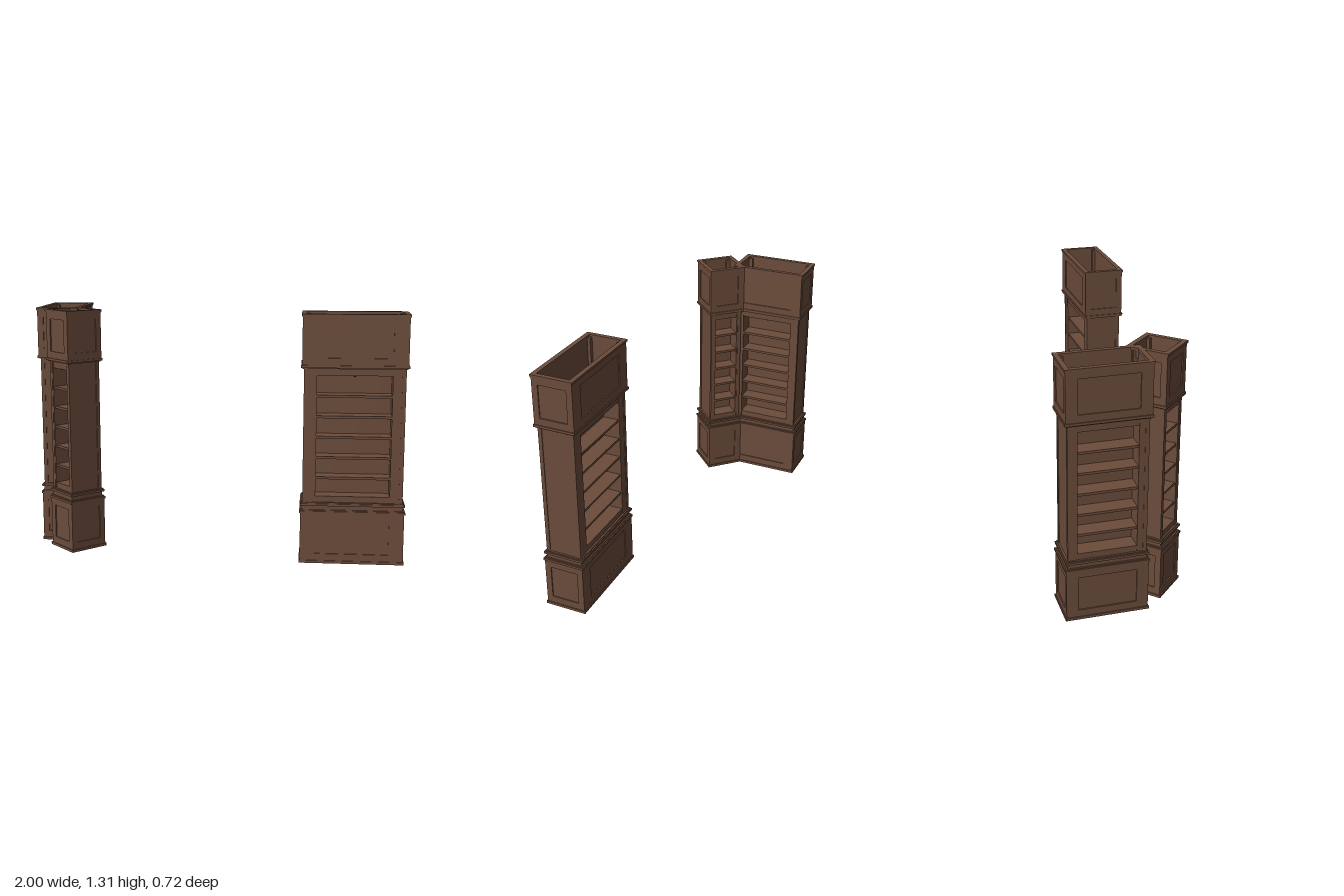
import * as THREE from 'three';

const wood = new THREE.MeshStandardMaterial({ color: 0x6b4c3b });
wood.name = 'brown wood';

function add(group, name, geometry, x = 0, y = 0, z = 0, ry = 0) {
  const mesh = new THREE.Mesh(geometry, wood);
  mesh.name = name;
  mesh.position.set(x, y, z);
  mesh.rotation.y = ry;
  group.add(mesh);
  return mesh;
}

const box = (w, h, d) => new THREE.BoxGeometry(w, h, d);

function rectPath(path, x0, y0, x1, y1) {
  path.moveTo(x0, y0).lineTo(x1, y0).lineTo(x1, y1).lineTo(x0, y1).closePath();
  return path;
}

// Flat rectangle w x h with a rectangular hole, extruded along +z
function frame(w, h, t, insetX, insetY) {
  const shape = rectPath(new THREE.Shape(), -w / 2, -h / 2, w / 2, h / 2);
  shape.holes.push(rectPath(new THREE.Path(), -w / 2 + insetX, -h / 2 + insetY, w / 2 - insetX, h / 2 - insetY));
  return new THREE.ExtrudeGeometry(shape, { depth: t, bevelEnabled: false });
}

// Horizontal ring from y0 to y1, open in the middle
function ring(group, name, w, d, y0, y1, inset) {
  add(group, name, frame(w, d, y1 - y0, inset, inset).rotateX(-Math.PI / 2), 0, y0, 0);
}

// Raised frames on the four sides of a cabinet section
function panelFrames(group, name, w, d, y0, y1, stile, endStile) {
  const t = 0.006, h = y1 - y0, y = (y0 + y1) / 2;
  for (const s of [1, -1]) {
    const turn = s > 0 ? 0 : Math.PI;
    add(group, name + 'LongFrame', frame(w, h, t, stile, 0.037), 0, y, s * (d / 2 - t), turn);
    add(group, name + 'EndFrame', frame(d - 2 * t, h, t, endStile, 0.037), s * (w / 2 - t), y, 0, turn + Math.PI / 2);
  }
}

// Two-sided bookcase: closed base, shelved middle, hollow top section
function bookcase(name, W, D, opening) {
  const g = new THREE.Group();
  g.name = name;
  const w = W - 0.01, d = D - 0.01, t = 0.006;
  const stile = (w - opening) / 2;

  // Base cabinet
  add(g, 'plinth', box(W, 0.014, D), 0, 0.007, 0);
  add(g, 'baseCore', box(w - 2 * t, 0.256, d - 2 * t), 0, 0.142, 0);
  panelFrames(g, 'base', w, d, 0.014, 0.27, stile, 0.026);

  // Waist mouldings
  add(g, 'baseMoulding', box(W, 0.012, D), 0, 0.276, 0);
  add(g, 'baseBead', box(W - 0.012, 0.006, D - 0.012), 0, 0.285, 0);
  add(g, 'waist', box(W - 0.026, 0.024, D - 0.026), 0, 0.3, 0);
  add(g, 'waistMoulding', box(W - 0.006, 0.012, D - 0.006), 0, 0.316, 0);
  add(g, 'waistBead', box(W - 0.018, 0.006, D - 0.018), 0, 0.325, 0);

  // Shelved middle section
  const bw = W - 0.03, bd = D - 0.03, bottom = 0.325, top = 1.04;
  const side = (bw - opening) / 2, h = top - bottom, mid = (top + bottom) / 2;
  for (const s of [1, -1]) {
    add(g, 'sidePost', box(side - 0.004, h, bd - 0.004), s * (bw / 2 - side / 2 - 0.002), mid, 0);
    for (const f of [1, -1]) {
      add(g, 'cornerPilaster', box(Math.min(0.02, side), h, 0.02), s * (bw / 2 - Math.min(0.02, side) / 2), mid, f * (bd / 2 - 0.01));
    }
  }
  add(g, 'bottomRail', box(opening + 0.008, 0.035, bd - 0.008), 0, 0.3425, 0);
  add(g, 'topRail', box(opening + 0.008, 0.045, bd - 0.008), 0, 1.0175, 0);
  add(g, 'middlePanel', box(opening + 0.008, h, 0.012), 0, mid, 0);
  for (let i = 1; i <= 5; i++) {
    add(g, 'shelf', box(opening + 0.006, 0.013, bd - 0.016), 0, 0.349 + i * 0.1075, 0);
  }
  for (const f of [1, -1]) {
    add(g, 'topKey', new THREE.CylinderGeometry(0.012, 0.003, 0.008, 8), 0, 0.992, f * (bd / 2 - 0.018));
  }

  // Hollow upper section
  ring(g, 'upperBead', W - 0.016, D - 0.016, 1.03, 1.036, 0.02);
  ring(g, 'upperMoulding', W, D, 1.036, 1.049, 0.02);
  ring(g, 'upperWalls', w - 2 * t, d - 2 * t, 1.049, 1.3, 0.012);
  panelFrames(g, 'upper', w, d, 1.049, 1.297, stile, 0.026);
  ring(g, 'corniceBead', W - 0.006, D - 0.006, 1.294, 1.299, 0.022);
  ring(g, 'cornice', W, D, 1.299, 1.31, 0.025);
  for (const s of [1, -1]) {
    for (const f of [1, -1]) {
      add(g, 'innerPost', box(0.022, 0.25, 0.016), s * (w / 2 - 0.029), 1.174, f * (d / 2 - 0.026));
    }
  }
  return g;
}

export function createModel() {
  const model = new THREE.Group();
  model.name = 'bookcases';

  const wide = bookcase('wideBookcase', 0.55, 0.226, 0.385);
  wide.position.set(0.725, 0, 0.247);

  const medium = bookcase('mediumBookcase', 0.424, 0.23, 0.296);
  medium.position.set(-0.885, 0, -0.149);
  medium.rotation.y = Math.PI / 2;

  const corner = bookcase('cornerBookcase', 0.22, 0.22, 0.135);
  corner.position.set(-0.775, 0, 0.145);
  corner.rotation.y = -Math.PI / 4;

  model.add(wide, medium, corner);
  return model;
}
